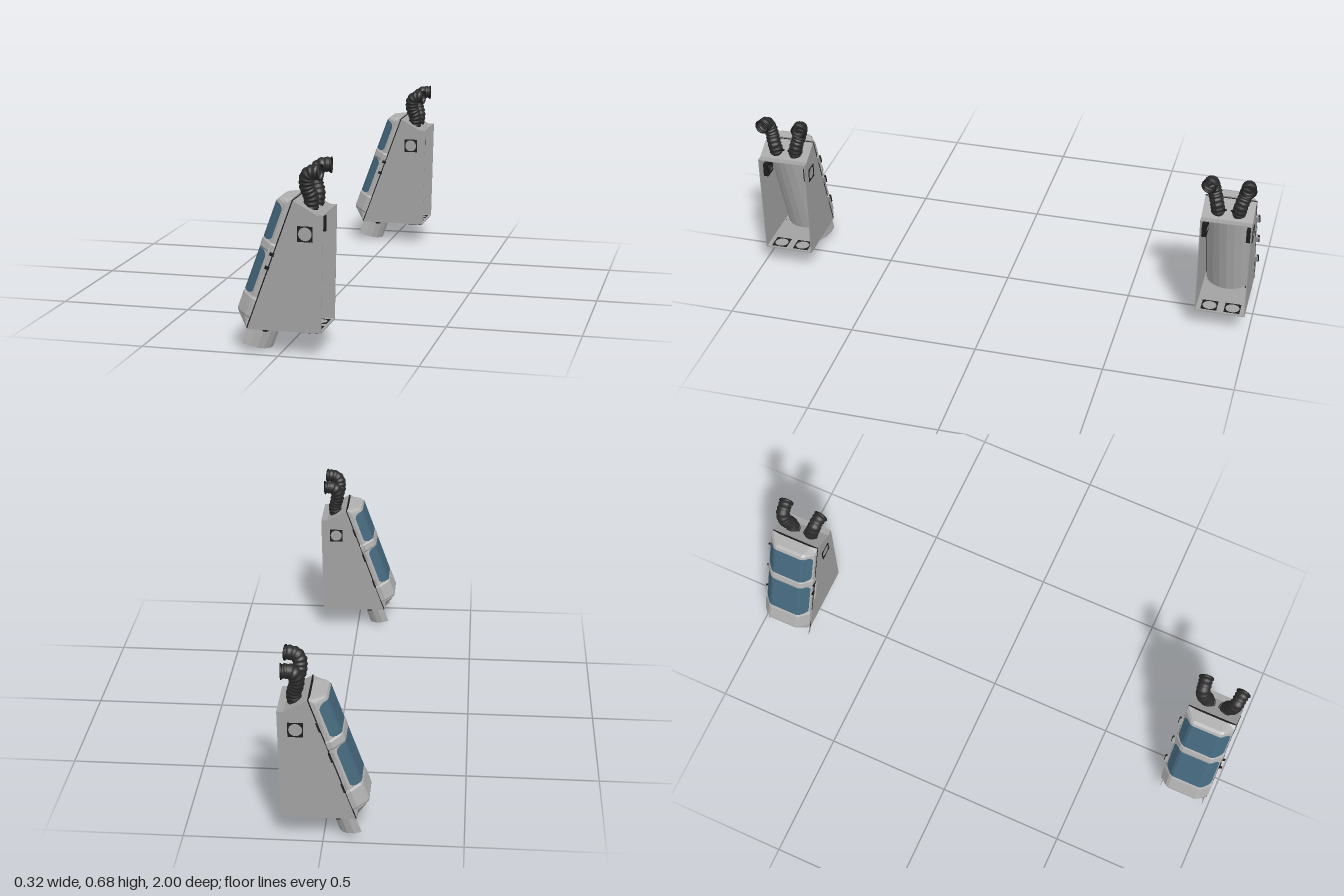
import * as THREE from 'three';

const mat = (name, color, side = THREE.DoubleSide) => {
  const m = new THREE.MeshStandardMaterial({ color, side });
  m.name = name;
  return m;
};
const BODY = mat('bodyGrey', 0xa3a3a3), DOOR = mat('doorGrey', 0xb0b0b0), LINER = mat('linerGrey', 0xb6b6b6);
const GLASS = mat('blueGlass', 0x44677c), BLACK = mat('black', 0x1c1c1c), HOSE = mat('hoseBlack', 0x2b2b2b);

const W = 0.0975;          // half width of a pod
const LEN = 0.4916;        // length of the slanted door
const TILT = 0.349;        // lean of the door

function add(parent, name, geo, material, x = 0, y = 0, z = 0) {
  const m = new THREE.Mesh(geo, material);
  m.name = name;
  m.position.set(x, y, z);
  parent.add(m);
  return m;
}
const box = (p, name, m, w, h, d, x, y, z) => add(p, name, new THREE.BoxGeometry(w, h, d), m, x, y, z);

// Flat-shaded skin through rows of [x, y, z] points
function loft(rows) {
  const n = rows[0].length, idx = [];
  for (let i = 0; i < rows.length - 1; i++)
    for (let j = 0; j < n - 1; j++) {
      const a = i * n + j;
      idx.push(a, a + 1, a + n, a + 1, a + n + 1, a + n);
    }
  const g = new THREE.BufferGeometry();
  g.setAttribute('position', new THREE.Float32BufferAttribute(rows.flat(2), 3));
  g.setIndex(idx);
  const flat = g.toNonIndexed();
  flat.computeVertexNormals();
  return flat;
}
// Mirror a half section of [z, depth] into a full row at height v
const row = (v, half) => [
  ...half.map(([z, d]) => [-d, v, -z]),
  ...half.slice().reverse().map(([z, d]) => [-d, v, z]),
];
// Chamfered door section, g swells it outwards
const section = (D, g = 0) => [
  [W + g, 0], [W + g, Math.min(0.016, D * 0.3) + g], [0.066 + g, D * 0.9 + g], [0.055 + g / 2, D + g],
];
const plate = (pts) => new THREE.Shape(pts.map(([x, y]) => new THREE.Vector2(x, y)));
const extrude = (shape, depth) => new THREE.ExtrudeGeometry(shape, { depth, bevelEnabled: false, curveSegments: 24 });

// Square fan facing +z
function makeFan(name, size, depth) {
  const fan = new THREE.Group();
  fan.name = name;
  const h = size / 2, r = size * 0.44;
  const frame = plate([[-h, -h], [h, -h], [h, h], [-h, h]]);
  const hole = new THREE.Path();
  hole.absarc(0, 0, r, 0, Math.PI * 2, true);
  frame.holes.push(hole);
  add(fan, 'fanFrame', extrude(frame, depth), BLACK, 0, 0, -depth);
  add(fan, 'fanHub', new THREE.CylinderGeometry(r * 0.33, r * 0.33, depth * 0.8, 20).rotateX(Math.PI / 2), HOSE, 0, 0, -depth / 2);
  add(fan, 'fanBack', new THREE.CircleGeometry(r, 24), BLACK, 0, 0, -depth * 0.7);
  for (let i = 0; i < 11; i++) {
    const blade = new THREE.BoxGeometry(r * 0.75, r * 0.3, 0.001).rotateX(0.6).translate(r * 0.6, 0, 0);
    add(fan, 'fanBlade', blade, HOSE, 0, 0, -depth * 0.4).rotation.z = (i * Math.PI * 2) / 11;
  }
  return fan;
}

// Ribbed hose, s = side in z
function makeHose(s) {
  const hose = new THREE.Group();
  hose.name = 'hose';
  const curve = new THREE.CatmullRomCurve3([
    [0.1, 0.51, 0.037], [0.104, 0.555, 0.045], [0.092, 0.6, 0.058],
    [0.097, 0.637, 0.068], [0.117, 0.651, 0.071], [0.145, 0.651, 0.075],
  ].map(([x, y, z]) => new THREE.Vector3(x, y, z * s)));
  const segs = 72, radial = 18;
  const geo = new THREE.TubeGeometry(curve, segs, 0.026, radial);
  const pos = geo.attributes.position, v = new THREE.Vector3();
  for (let i = 0; i <= segs; i++) {
    const c = curve.getPointAt(i / segs), k = 1 + 0.06 * Math.cos((i * Math.PI) / 3);
    for (let j = 0; j <= radial; j++) {
      const q = i * (radial + 1) + j;
      v.fromBufferAttribute(pos, q).sub(c).multiplyScalar(k).add(c);
      pos.setXYZ(q, v.x, v.y, v.z);
    }
  }
  geo.computeVertexNormals();
  add(hose, 'hoseTube', geo, HOSE);
  const tip = add(hose, 'hoseFlange', new THREE.TorusGeometry(0.0265, 0.003, 8, 24), BLACK);
  tip.position.copy(curve.getPointAt(1));
  tip.lookAt(tip.position.clone().add(curve.getTangentAt(1)));
  const collar = add(hose, 'hoseCollar', new THREE.TorusGeometry(0.027, 0.004, 8, 24), BLACK, 0.1, 0.53, 0.038 * s);
  collar.rotation.set(Math.PI / 2, 0.51, 0);
  return hose;
}

function makeDoor() {
  const door = new THREE.Group();
  door.name = 'door';
  door.position.set(-0.118, 0.093, 0);
  door.rotation.z = -TILT;
  box(door, 'doorSeal', BLACK, 0.004, LEN, W * 2 + 0.002, 0.001, LEN / 2, 0);
  // Shell
  const shell = [[0, 0.004], [0.032, 0.056], [0.04, 0.0585], [0.455, 0.0585], [0.468, 0.056], [0.476, 0.046], [LEN, 0.006]];
  add(door, 'doorShell', loft(shell.map(([v, D]) => row(v, section(D)))), DOOR);
  // Raised bands
  const band = (name, a, b, e) =>
    add(door, name, loft([[a, 0], [a + e, 0.003], [b - e, 0.003], [b, 0]].map(([v, g]) => row(v, section(0.0585, g)))), DOOR);
  band('middleBand', 0.284, 0.322, 0.007);
  band('lowerPanel', 0.036, 0.116, 0.008);
  // Raised pads on the lower panel's slanted sides
  for (const s of [-1, 1]) {
    const pad = [[0.044, 0.028, 0.05], [0.052, 0.022, 0.053], [0.092, 0.022, 0.053], [0.102, 0.03, 0.05]];
    add(door, 'lowerPad', loft(pad.map(([v, a, b]) => [a, b].map((d) => [-d - 0.0055, v, s * (0.1005 - (d - 0.016) * 0.85)]))), DOOR);
  }
  // Wrap-around windows with clipped corners
  for (const [a, b] of [[0.118, 0.284], [0.322, 0.458]]) {
    const rows = [[a, 0.6], [a + 0.006, 0.2], [a + 0.016, 0], [b - 0.016, 0], [b - 0.006, 0.2], [b, 0.6]];
    add(door, 'window', loft(rows.map(([v, t]) => row(v, [
      [0.0934 - 0.0264 * t, 0.0235 + 0.0305 * t], [0.067, 0.054], [0.0555, 0.06],
    ]))), GLASS);
  }
  // Hinges
  for (const y of [0.22, 0.34, 0.457]) {
    const v = (y - 0.093) / Math.cos(TILT);
    box(door, 'hinge', BODY, 0.016, 0.03, 0.013, -0.001, v, -W - 0.0065);
    add(door, 'hingePin', new THREE.CylinderGeometry(0.004, 0.004, 0.036, 10), BLACK, 0, v, -W - 0.012);
  }
  // Handle
  box(door, 'handleBar', DOOR, 0.009, 0.096, 0.005, -0.0135, 0.258, W + 0.0145);
  for (const v of [0.232, 0.284]) {
    box(door, 'handlePost', BLACK, 0.006, 0.008, 0.014, -0.0135, v, W + 0.006);
    box(door, 'handleMount', BLACK, 0.022, 0.012, 0.004, -0.006, v, W + 0.002);
  }
  // Half-round liner that runs out below as a chute
  const liner = new THREE.CylinderGeometry(0.092, 0.092, 0.53, 10, 1, true, 0, Math.PI).toNonIndexed();
  liner.computeVertexNormals();
  add(door, 'linerChute', liner, LINER, 0.003, 0.203, 0);
  return door;
}

function makePod() {
  const pod = new THREE.Group();
  pod.name = 'pod';
  // Housing, open at the rear
  const side = plate([[-0.118, 0.09], [0.151, 0.09], [0.16, 0.507], [0.135, 0.507], [0.05, 0.555]]);
  for (const z of [-W, W - 0.003]) add(pod, 'sideWall', extrude(side, 0.003), BODY, 0, 0, z);
  const roof = plate([[0.05, 0.555], [0.135, 0.507], [0.16, 0.507], [0.16, 0.504], [0.134, 0.504], [0.049, 0.552]]);
  add(pod, 'roof', extrude(roof, W * 2), BODY, 0, 0, -W);
  box(pod, 'floor', BODY, 0.269, 0.004, W * 2, 0.0165, 0.09, 0);
  pod.add(makeDoor());
  for (const s of [-1, 1]) {
    pod.add(makeHose(s));
    const fan = makeFan('sideFan', 0.055, 0.024);
    fan.position.set(0.095, 0.438, s * (W + 0.002));
    if (s < 0) fan.rotation.y = Math.PI;
    pod.add(fan);
    const vent = makeFan('floorFan', 0.062, 0.012);
    vent.position.set(0.11, 0.081, s * 0.045);
    vent.rotation.x = Math.PI / 2;
    pod.add(vent);
    add(pod, 'floorPort', new THREE.CylinderGeometry(0.013, 0.011, 0.012, 16), BLACK, -0.053, 0.086, s * 0.08);
  }
  return pod;
}

export function createModel() {
  const model = new THREE.Group();
  model.name = 'podPair';
  for (const z of [-0.885, 0.885]) {
    const pod = makePod();
    pod.position.z = z;
    model.add(pod);
  }
  return model;
}
